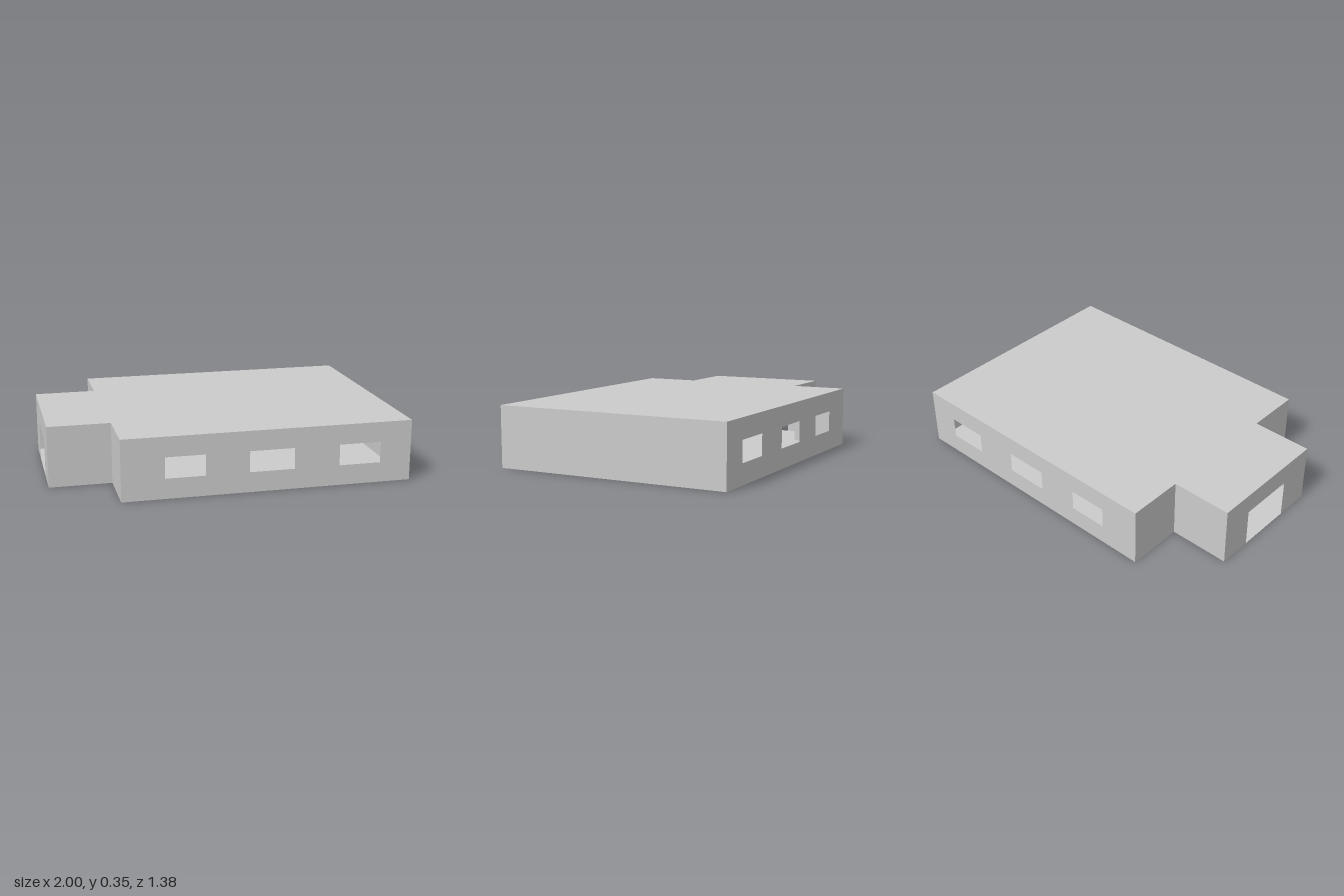
import * as THREE from 'three';

const HEIGHT = 0.35;
const material = new THREE.MeshStandardMaterial({ color: 0xcccccc, flatShading: true, side: THREE.DoubleSide });

// Floor plan corners as [x, z], starting at the front wall
const plan = [
  [-0.645, 0.69], [1, 0.69], [1, -0.69], [-0.645, -0.69],
  [-0.645, -0.365], [-1, -0.365], [-1, 0.365], [-0.645, 0.365],
];
const wallNames = [
  'frontWall', 'leftEndWall', 'backWall', 'backShoulderWall',
  'porchBackWall', 'porchDoorWall', 'porchFrontWall', 'frontShoulderWall',
];

// Window spans along x, shared by the front and back walls
const windows = [[-0.405, -0.18], [0.065, 0.32], [0.58, 0.82]];
const SILL = 0.115, LINTEL = 0.235;
const door = { from: 0.195, to: 0.525, top: 0.227 };

const toShape = (points) => new THREE.Shape(points.map(([x, y]) => new THREE.Vector2(x, y)));

// Thin wall from corner a to corner b, its outer face on the right of travel
function makeWall(name, a, b) {
  const dx = b[0] - a[0], dz = b[1] - a[1];
  const length = Math.hypot(dx, dz);
  const outline = [[0, 0]];
  if (name === 'porchDoorWall') {
    outline.push([door.from, 0], [door.from, door.top], [door.to, door.top], [door.to, 0]);
  }
  outline.push([length, 0], [length, HEIGHT], [0, HEIGHT]);
  const shape = toShape(outline);

  if (name === 'frontWall' || name === 'backWall') {
    for (const [x0, x1] of windows) {
      const u0 = Math.abs(x0 - a[0]), u1 = Math.abs(x1 - a[0]);
      shape.holes.push(toShape([[u0, SILL], [u0, LINTEL], [u1, LINTEL], [u1, SILL]]));
    }
  }
  const wall = new THREE.Mesh(new THREE.ShapeGeometry(shape), material);
  wall.name = name;
  wall.position.set(a[0], 0, a[1]);
  wall.rotation.y = Math.atan2(-dz, dx);
  return wall;
}

// Horizontal slab over the whole plan, facing up (roof) or down (floor)
function makeSlab(name, y, facing) {
  const geometry = new THREE.ShapeGeometry(toShape(plan.map(([x, z]) => [x, -facing * z])));
  geometry.rotateX(-facing * Math.PI / 2);
  const slab = new THREE.Mesh(geometry, material);
  slab.name = name;
  slab.position.y = y;
  return slab;
}

export function createModel() {
  const building = new THREE.Group();
  building.name = 'building';
  plan.forEach((corner, i) => {
    building.add(makeWall(wallNames[i], corner, plan[(i + 1) % plan.length]));
  });
  building.add(makeSlab('floor', 0, -1), makeSlab('roof', HEIGHT, 1));
  return building;
}
